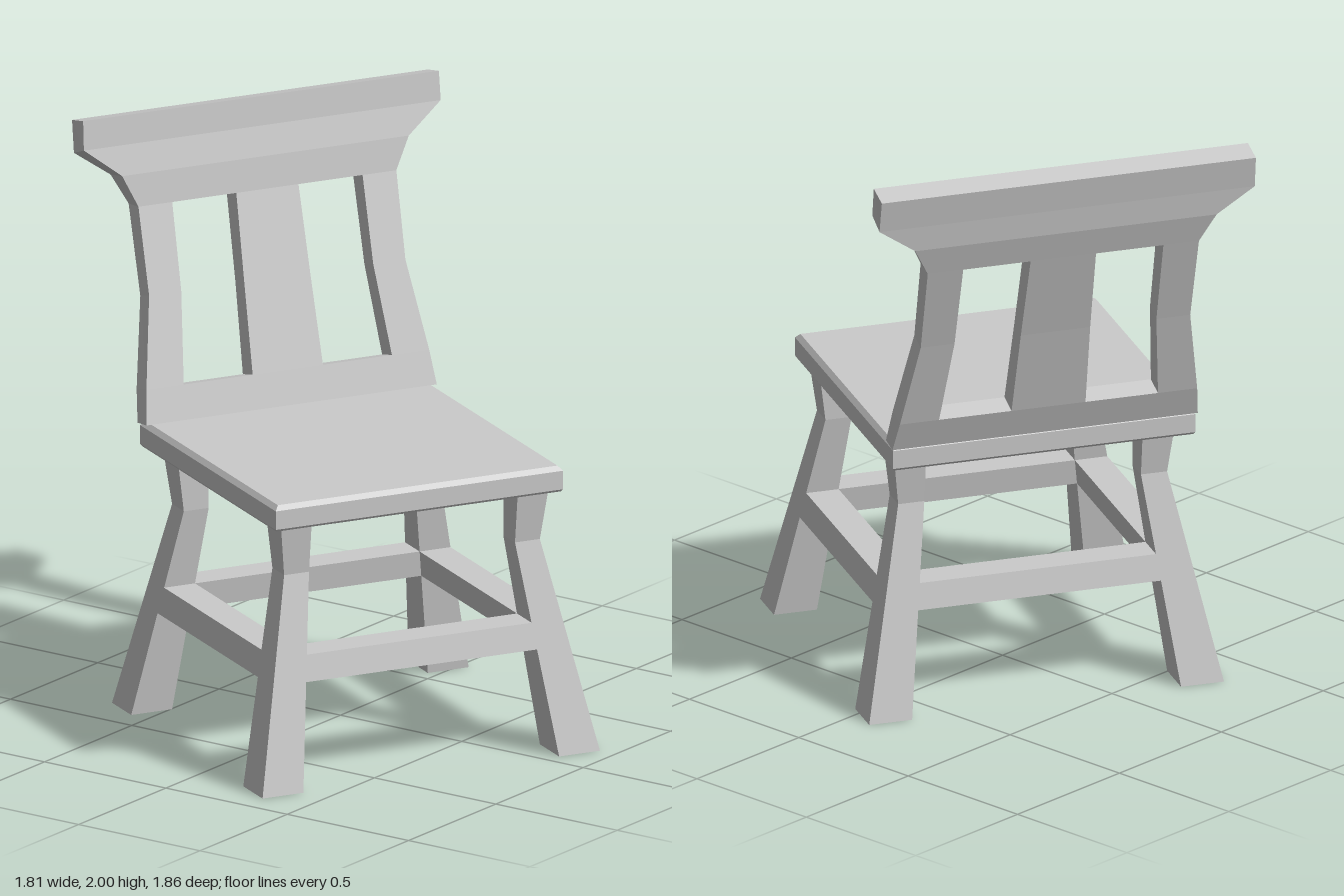
import * as THREE from 'three';

const material = new THREE.MeshStandardMaterial({ color: 0xcccccc, flatShading: true });

// Mesh from quads, each a list of four corners counter-clockwise from outside
function quadMesh(name, quads) {
  const pos = [];
  for (const [a, b, c, d] of quads) pos.push(...a, ...b, ...c, ...a, ...c, ...d);
  const geometry = new THREE.BufferGeometry();
  geometry.setAttribute('position', new THREE.Float32BufferAttribute(pos, 3));
  geometry.computeVertexNormals();
  const mesh = new THREE.Mesh(geometry, material);
  mesh.name = name;
  return mesh;
}

// Closed solid through rectangles stacked upwards: [y, x0, x1, z0, z1]
function rectLoft(name, sections) {
  const rings = sections.map(([y, x0, x1, z0, z1]) => {
    const [l, r] = [Math.min(x0, x1), Math.max(x0, x1)];
    const [b, f] = [Math.min(z0, z1), Math.max(z0, z1)];
    return [[l, y, f], [r, y, f], [r, y, b], [l, y, b]];
  });
  const quads = [[...rings[0]].reverse(), rings[rings.length - 1]];
  for (let i = 0; i + 1 < rings.length; i++) {
    for (let k = 0; k < 4; k++) {
      const n = (k + 1) % 4;
      quads.push([rings[i][k], rings[i][n], rings[i + 1][n], rings[i + 1][k]]);
    }
  }
  return quadMesh(name, quads);
}

// Leg outline: height, outer and inner distance from the seat centre
const LEG = [[0, 0.624, 0.473], [0.72, 0.473, 0.381], [0.91, 0.496, 0.381]];
const BACK_SHIFT = 0.068; // back legs stand a little further forward

function legAt(y) {
  const t = y / LEG[1][0];
  return [1, 2].map((k) => THREE.MathUtils.lerp(LEG[0][k], LEG[1][k], t));
}

// Curved backrest: a bent grid of solid cells with two slots left out
function backrest() {
  // front y, back y, front z, back z, half width, slot outer x, slot inner x
  const rows = [
    [0.985, 0.975, -0.47, -0.54, 0.537, 0.385, 0.13],
    [1.1, 1.08, -0.5, -0.577, 0.523, 0.385, 0.13],
    [1.4, 1.38, -0.583, -0.652, 0.474, 0.355, 0.122],
    [1.69, 1.68, -0.66, -0.737, 0.477, 0.352, 0.115],
    [1.8, 1.78, -0.675, -0.766, 0.53, 0.352, 0.115],
    [1.9, 1.87, -0.7, -0.778, 0.66, 0.352, 0.115],
    [2.0, 1.98, -0.71, -0.797, 0.658, 0.352, 0.115],
  ];
  const front = [], back = [];
  for (const [yf, yb, zf, zb, w, so, si] of rows) {
    const xs = [-w, -so, -si, si, so, w];
    front.push(xs.map((x) => [x, yf, zf]));
    back.push(xs.map((x) => [x, yb, zb]));
  }
  const solid = (i, j) => i >= 0 && j >= 0 && i < 6 && j < 5
    && !((i === 1 || i === 2) && (j === 1 || j === 3));
  const quads = [];
  for (let i = 0; i < 6; i++) {
    for (let j = 0; j < 5; j++) {
      if (!solid(i, j)) continue;
      const [a, b, c, d] = [[i, j], [i, j + 1], [i + 1, j + 1], [i + 1, j]];
      const F = ([r, k]) => front[r][k], B = ([r, k]) => back[r][k];
      quads.push([F(a), F(b), F(c), F(d)], [B(b), B(a), B(d), B(c)]);
      // walls wherever the neighbouring cell is empty
      const wall = (p, q) => quads.push([F(q), F(p), B(p), B(q)]);
      if (!solid(i - 1, j)) wall(a, b);
      if (!solid(i, j + 1)) wall(b, c);
      if (!solid(i + 1, j)) wall(c, d);
      if (!solid(i, j - 1)) wall(d, a);
    }
  }
  return quadMesh('backrest', quads);
}

export function createModel() {
  const chair = new THREE.Group();
  chair.name = 'chair';

  // Seat slab with a bevelled rim
  chair.add(rectLoft('seat', [[0.895, 0.526], [0.903, 0.5315], [0.968, 0.5315], [0.984, 0.517]]
    .map(([y, h]) => [y, -h, h, -h, h])));

  // Four splayed legs
  for (const front of [true, false]) {
    for (const side of [1, -1]) {
      const place = (d) => (front ? d : BACK_SHIFT - d);
      chair.add(rectLoft(`${front ? 'front' : 'back'}${side > 0 ? 'Left' : 'Right'}Leg`,
        LEG.map(([y, o, n]) => [y, side * o, side * n, place(o), place(n)])));
    }
  }

  // Stretchers, flush with the legs
  const levels = [0.36, 0.45].map((y) => [y, ...legAt(y)]);
  chair.add(rectLoft('frontStretcher', levels.map(([y, o, n]) => [y, -n, n, n, o])));
  chair.add(rectLoft('backStretcher',
    levels.map(([y, o, n]) => [y, -n, n, BACK_SHIFT - o, BACK_SHIFT - n])));
  for (const side of [1, -1]) {
    chair.add(rectLoft(side > 0 ? 'leftStretcher' : 'rightStretcher',
      levels.map(([y, o, n]) => [y, side * n, side * o, BACK_SHIFT - n, n])));
  }

  chair.add(backrest());

  // The whole chair stands turned on the floor
  chair.rotation.y = THREE.MathUtils.degToRad(-29);
  chair.position.set(-0.0575, 0, 0.0875);
  const model = new THREE.Group();
  model.add(chair);
  return model;
}
